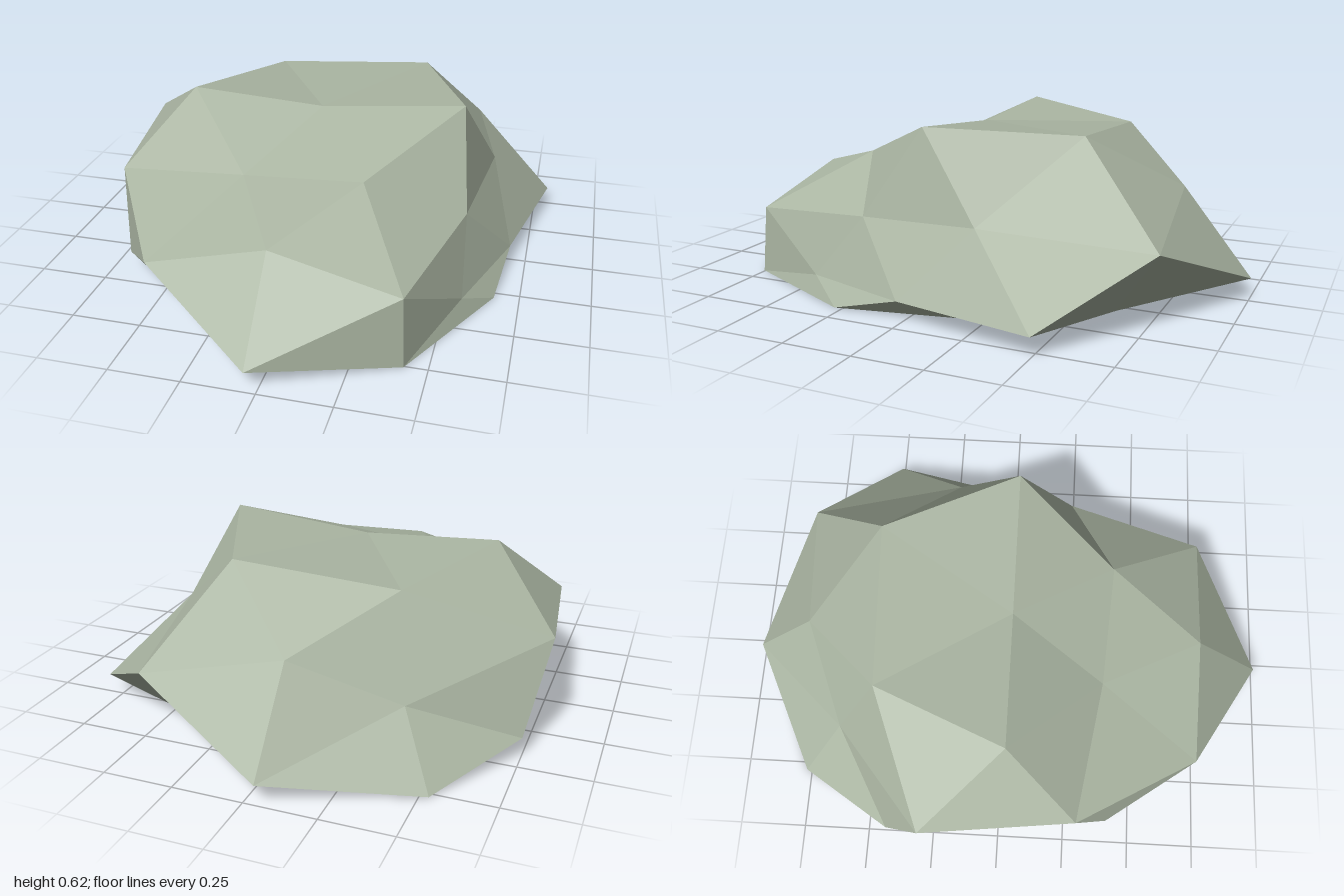
import * as THREE from 'three';

// Corners of the base icosahedron, pushed into the boulder's shape [x, y, z]
const corners = [
  [-0.54, 0.595, 0.02], [0.49, 0.62, 0.02],    // 0-1 crown left and right
  [-0.5, 0, 0.02], [0.5, 0, 0.02],             // 2-3 underside
  [-0.04, 0, 0.66], [-0.04, 0.355, 0.73],      // 4-5 front low and high
  [-0.07, 0, -0.82], [-0.04, 0.38, -0.75],     // 6-7 back low and high
  [0.8, 0.07, -0.5], [0.56, 0.07, 0.42],       // 8-9 +x side, back and front
  [-0.75, 0.07, -0.43], [-0.68, 0.07, 0.41],   // 10-11 -x side, back and front
];

// Points splitting each edge; an edge not listed here is split in its middle
const splits = {
  '0-1': [-0.04, 0.567, 0.02], '0-5': [-0.24, 0.42, 0.36], '0-7': [-0.33, 0.55, -0.46],
  '0-10': [-0.81, 0.38, -0.28], '0-11': [-0.74, 0.35, 0.28],
  '1-5': [0.2, 0.46, 0.39], '1-7': [0.27, 0.59, -0.48],
  '1-8': [0.59, 0.32, -0.22], '1-9': [0.54, 0.3, 0.23],
  '5-9': [0.41, 0.25, 0.74], '5-11': [-0.47, 0.245, 0.73],
  '7-8': [0.47, 0.27, -0.8], '7-10': [-0.4, 0.22, -0.62],
  '4-5': [-0.04, 0.07, 0.995], '6-7': [-0.04, 0.07, -1],
  '8-9': [0.69, 0.07, 0.02], '10-11': [-0.7, 0.07, 0.02],
  '2-10': [-0.62, 0, -0.3], '2-11': [-0.64, 0, 0.3],
  '3-8': [0.56, 0, -0.24], '3-9': [0.66, 0, 0.28],
  '4-9': [0.42, 0, 0.755], '4-11': [-0.37, 0, 0.6],
  '6-8': [0.29, 0, -0.61], '6-10': [-0.53, 0, -0.77],
};

// Icosahedron faces, counter-clockwise seen from outside
const faces = [
  [0, 11, 5], [0, 5, 1], [0, 1, 7], [0, 7, 10], [0, 10, 11],
  [1, 5, 9], [5, 11, 4], [11, 10, 2], [10, 7, 6], [7, 1, 8],
  [3, 9, 4], [3, 4, 2], [3, 2, 6], [3, 6, 8], [3, 8, 9],
  [4, 9, 5], [2, 4, 11], [6, 2, 10], [8, 6, 7], [9, 8, 1],
];

function split(a, b) {
  const key = `${Math.min(a, b)}-${Math.max(a, b)}`;
  return splits[key] ?? corners[a].map((v, i) => (v + corners[b][i]) / 2);
}

function boulderGeometry() {
  const positions = [];
  for (const [a, b, c] of faces) {
    const ab = split(a, b), bc = split(b, c), ca = split(c, a);
    // Three corner facets and the middle one
    for (const p of [corners[a], ab, ca, corners[b], bc, ab, corners[c], ca, bc, ab, bc, ca]) {
      positions.push(...p);
    }
  }
  const geometry = new THREE.BufferGeometry();
  geometry.setAttribute('position', new THREE.Float32BufferAttribute(positions, 3));
  geometry.computeVertexNormals(); // unshared vertices give flat facets
  return geometry;
}

export function createModel() {
  const stone = new THREE.MeshStandardMaterial({ color: 0xaab5a2 });
  stone.name = 'sageStone';
  stone.flatShading = true;

  const boulder = new THREE.Mesh(boulderGeometry(), stone);
  boulder.name = 'boulder';

  const model = new THREE.Group();
  model.name = 'rock';
  model.add(boulder);
  return model;
}
